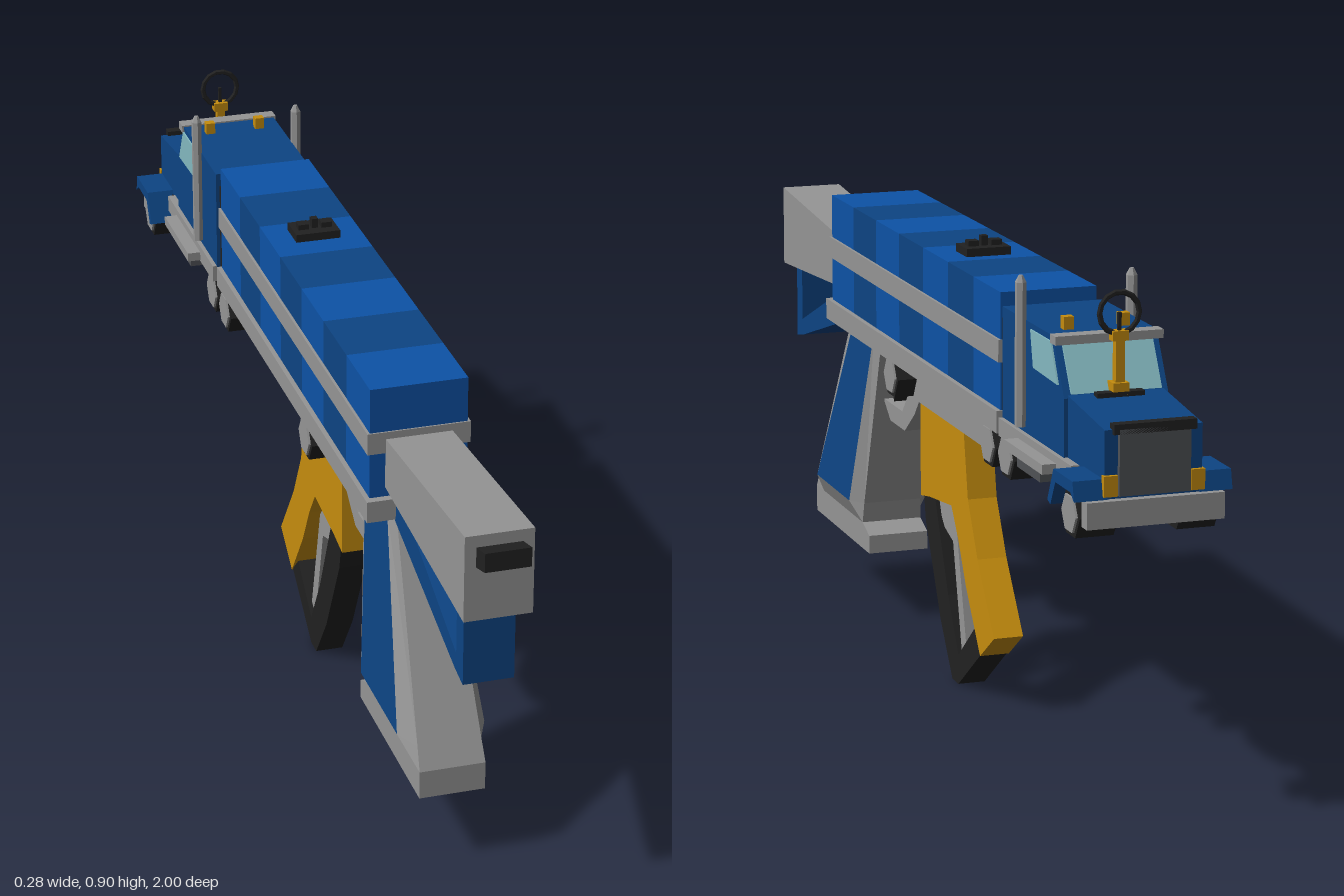
import * as THREE from 'three';

const mat = (name, color) => Object.assign(new THREE.MeshStandardMaterial({ color }), { name });

export function createModel() {
  const root = new THREE.Group();
  root.name = 'truckBlaster';
  const blue = mat('bright blue', 0x0d52a6);
  const navy = mat('dark blue', 0x0d4483);
  const grey = mat('grey', 0x959595);
  const iron = mat('dark grey', 0x505256);
  const black = mat('black', 0x212121);
  const amber = mat('amber', 0xc68d0e);
  const glass = mat('glass', 0x84b9c1);

  // Every part is faceted
  const add = (name, geo, material) => {
    const g = geo.index ? geo.toNonIndexed() : geo;
    g.computeVertexNormals();
    const mesh = new THREE.Mesh(g, material);
    mesh.name = name;
    root.add(mesh);
    return mesh;
  };
  // Box from its bounds
  const box = (name, material, x0, x1, y0, y1, z0, z1) =>
    add(name, new THREE.BoxGeometry(x1 - x0, y1 - y0, z1 - z0)
      .translate((x0 + x1) / 2, (y0 + y1) / 2, (z0 + z1) / 2), material);
  // Side profile of [z, y] points extruded across x
  const side = (name, material, pts, x0, x1, hole) => {
    const shape = new THREE.Shape(pts.map(p => new THREE.Vector2(...p)));
    if (hole) shape.holes.push(new THREE.Path(hole.map(p => new THREE.Vector2(...p))));
    const geo = new THREE.ExtrudeGeometry(shape, { depth: x1 - x0, bevelEnabled: false });
    return add(name, geo.rotateY(-Math.PI / 2).translate(x1, 0, 0), material);
  };
  const axle = (name, material, r, x0, x1, y, z) =>
    add(name, new THREE.CylinderGeometry(r, r, x1 - x0, 6).rotateZ(Math.PI / 2)
      .translate((x0 + x1) / 2, y, z), material);

  // Trailer: alternating bands, belt and rail
  const bands = 7, z0 = -0.485, len = 1.0 / bands;
  for (let i = 0; i < bands; i++)
    box('trailerBand', i % 2 ? navy : blue, -0.088, 0.088, 0.62, 0.835, z0 + i * len, z0 + (i + 1) * len);
  box('trailerBelt', grey, -0.093, 0.093, 0.712, 0.752, -0.488, 0.518);
  box('trailerRail', grey, -0.097, 0.097, 0.587, 0.627, -0.49, 0.53);
  side('underbody', grey, [[0.21, 0.59], [0.2, 0.53], [0.17, 0.515], [-0.31, 0.515], [-0.38, 0.59]], -0.055, 0.055);

  // Rear sight
  box('rearSightBase', black, -0.042, 0.042, 0.835, 0.85, -0.17, -0.11);
  for (const x of [-0.022, 0.022]) box('rearSightBlade', black, x - 0.01, x + 0.01, 0.85, 0.86, -0.15, -0.13);
  box('rearSightPost', black, -0.006, 0.006, 0.85, 0.868, -0.147, -0.133);

  // Stock with pad and brace
  side('stock', grey, [[0.955, 0.775], [0.955, 0.617], [0.51, 0.645], [0.51, 0.738]], -0.06, 0.06);
  side('stockPad', black, [[0.95, 0.752], [1.0, 0.765], [1.0, 0.73], [0.95, 0.715]], -0.04, 0.04);
  side('stockBrace', navy, [[0.912, 0.622], [0.912, 0.472], [0.87, 0.48], [0.5, 0.59],
    [0.5, 0.64], [0.56, 0.64], [0.875, 0.512], [0.875, 0.622]], -0.045, 0.045);

  // Grip: rows of [y, zBack, zPanelBack, zPanelFront, zFront, xEdge, xPanel]
  const rows = [
    [0.59, 0.53, 0.495, 0.365, 0.335, 0.043, 0.05],
    [0.235, 0.71, 0.66, 0.44, 0.41, 0.058, 0.08],
    [0.195, 0.73, 0.68, 0.44, 0.415, 0.06, 0.06],
  ].map(([y, zb, p, q, zf, e, s]) => [[e, y, zb], [s, y, p], [s, y, q], [e, y, zf],
    [-e, y, zf], [-s, y, q], [-s, y, p], [-e, y, zb]]);
  const shell = [], panel = [];
  for (let r = 0; r < 2; r++) for (let i = 0; i < 8; i++) {
    const j = (i + 1) % 8, a = rows[r][i], b = rows[r][j], c = rows[r + 1][i], d = rows[r + 1][j];
    (r === 0 && (i === 1 || i === 5) ? panel : shell).push(...a, ...c, ...d, ...a, ...d, ...b);
  }
  const loft = p => new THREE.BufferGeometry().setAttribute('position', new THREE.Float32BufferAttribute(p, 3));
  add('grip', loft(shell), grey);
  add('gripPanels', loft(panel), navy);
  side('gripFoot', grey, [[0.73, 0.195], [0.73, 0.142], [0.372, 0.142], [0.372, 0.178], [0.415, 0.195]], -0.06, 0.06);

  // Trigger and guard
  side('trigger', black, [[0.345, 0.59], [0.25, 0.59], [0.275, 0.54], [0.335, 0.455]], -0.02, 0.02);
  side('triggerGuard', grey, [[0.37, 0.455], [0.325, 0.42], [0.235, 0.42], [0.175, 0.465], [0.13, 0.515],
    [0.2, 0.55], [0.21, 0.5], [0.25, 0.455]], -0.03, 0.03);

  // Magazine with angled foregrip loop
  side('magazine', amber, [[0.143, 0.53], [0.143, 0.315], [0.09, 0.325], [-0.04, 0.34], [-0.08, 0.285],
    [-0.125, 0.205], [-0.205, 0.095], [-0.283, 0.15], [-0.19, 0.275], [-0.135, 0.375], [-0.105, 0.53]], -0.028, 0.028);
  side('foregripLoop', black, [[0.13, 0.325], [0.118, 0.27], [0.03, 0.1], [-0.04, 0.003], [-0.075, 0.003],
    [-0.205, 0.098], [-0.165, 0.135], [-0.075, 0.06], [-0.015, 0.16], [0.06, 0.325]], -0.026, 0.026);
  side('foregripStrut', grey, [[0.07, 0.32], [0.0, 0.345], [-0.04, 0.3], [-0.098, 0.08], [-0.072, 0.062],
    [-0.02, 0.265], [0.03, 0.28]], -0.018, 0.018);

  // Cab
  side('cab', navy, [[-0.507, 0.615], [-0.507, 0.815], [-0.76, 0.815], [-0.815, 0.72], [-0.815, 0.6]], -0.092, 0.092);
  side('hood', navy, [[-0.81, 0.6], [-0.81, 0.725], [-0.985, 0.705], [-0.985, 0.575], [-0.87, 0.575]], -0.085, 0.085);
  box('chassis', black, -0.088, 0.088, 0.565, 0.615, -0.975, -0.48);
  box('cabGapCover', black, -0.085, 0.085, 0.6, 0.79, -0.51, -0.48);
  side('windscreen', glass, [[-0.765, 0.808], [-0.771, 0.808], [-0.818, 0.727], [-0.812, 0.727]], -0.08, 0.08);
  box('sunVisor', grey, -0.096, 0.096, 0.803, 0.818, -0.782, -0.755);
  box('wiperVent', black, -0.042, 0.042, 0.718, 0.73, -0.838, -0.82);
  box('grille', iron, -0.062, 0.062, 0.595, 0.706, -0.994, -0.98);
  box('grilleCap', black, -0.072, 0.072, 0.698, 0.715, -0.994, -0.975);
  box('bumper', grey, -0.12, 0.12, 0.545, 0.59, -1.0, -0.975);

  for (const s of [-1, 1]) {
    // Bounds mirrored to one side
    const span = (a, b) => s > 0 ? [a, b] : [-b, -a];
    side('sideWindow', glass, [[-0.655, 0.805], [-0.755, 0.805], [-0.79, 0.738], [-0.67, 0.742]], ...span(0.09, 0.095));
    box('headlight', amber, ...span(0.064, 0.088), 0.595, 0.63, -0.992, -0.98);
    box('roofLamp', amber, s * 0.05 - 0.009, s * 0.05 + 0.009, 0.81, 0.837, -0.722, -0.706);
    box('step', grey, ...span(0.08, 0.125), 0.59, 0.607, -0.8, -0.61);
    box('stepRail', grey, ...span(0.08, 0.1), 0.588, 0.62, -0.87, -0.51);
    box('fuelTank', iron, ...span(0.06, 0.112), 0.565, 0.592, -0.755, -0.64);
    side('fender', navy, [[-0.862, 0.565], [-0.89, 0.623], [-0.98, 0.623], [-0.988, 0.59], [-0.97, 0.603],
      [-0.9, 0.603], [-0.877, 0.56]], ...span(0.08, 0.138));
    // Exhaust stack with a pointed tip
    add('exhaustStack', new THREE.CylinderGeometry(0.01, 0.01, 0.25, 6).translate(s * 0.1, 0.755, -0.622), grey);
    add('exhaustTip', new THREE.CylinderGeometry(0.004, 0.01, 0.012, 6).translate(s * 0.1, 0.886, -0.622), grey);
    // Wheels: [z, inner x, outer x]
    for (const [z, a, b] of [[0.125, 0.045, 0.092], [-0.44, 0.045, 0.094], [-0.535, 0.045, 0.094], [-0.93, 0.055, 0.122]]) {
      axle('wheel', black, 0.043, ...span(a, b), 0.557, z);
      axle('wheelHub', grey, 0.034, ...span(b - 0.002, b + 0.004), 0.557, z);
    }
  }

  // Front sight: amber post and black ring
  box('frontSightFoot', amber, -0.014, 0.014, 0.72, 0.745, -0.838, -0.81);
  box('frontSightPost', amber, -0.008, 0.008, 0.74, 0.83, -0.832, -0.817);
  box('frontSightCollar', amber, -0.014, 0.014, 0.815, 0.832, -0.834, -0.815);
  add('frontSightRing', new THREE.TorusGeometry(0.035, 0.005, 6, 14).translate(0, 0.861, -0.825), black);
  box('frontSightPin', black, -0.003, 0.003, 0.828, 0.862, -0.828, -0.822);

  return root;
}
